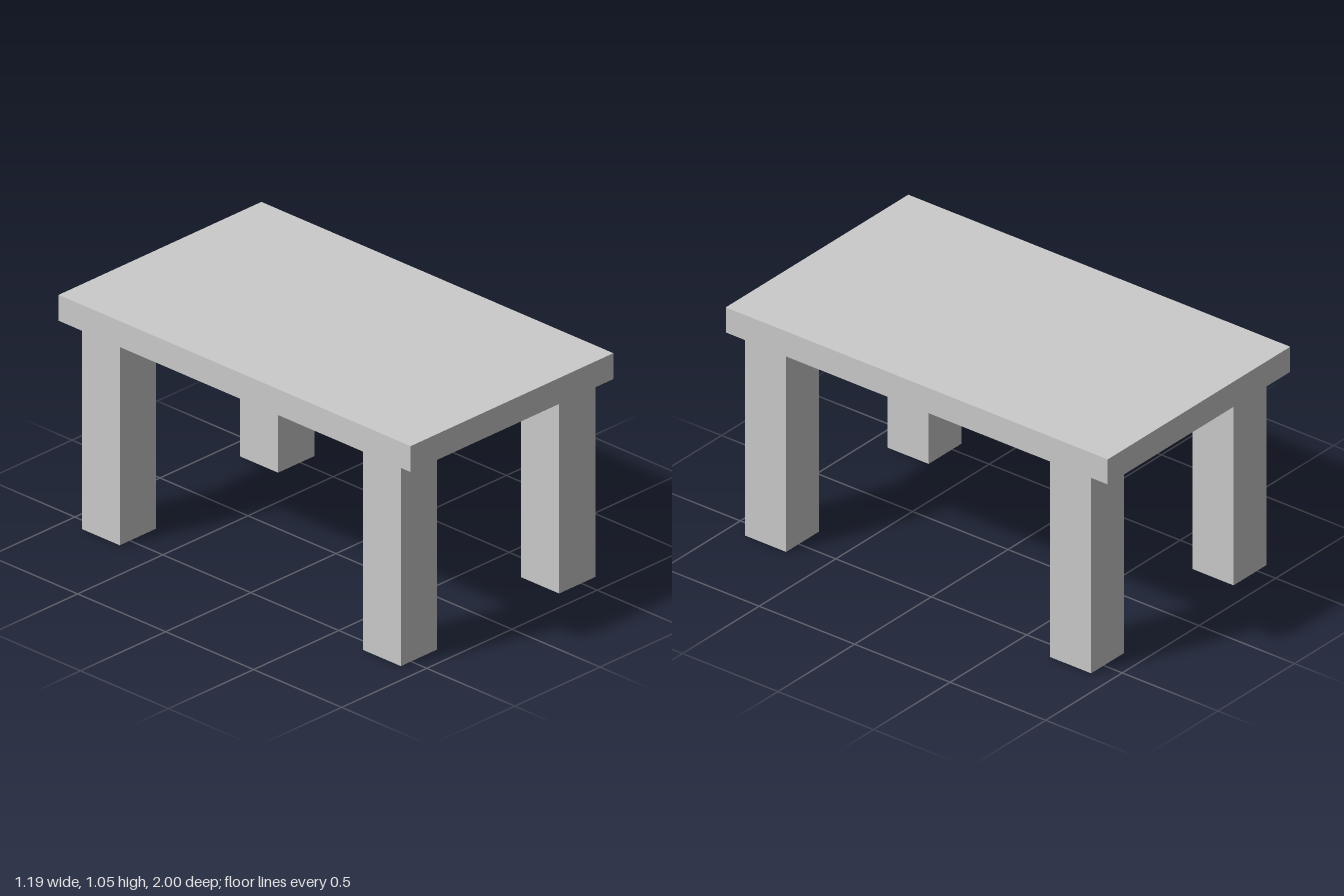
import * as THREE from 'three';

export function createModel() {
  const table = new THREE.Group();
  table.name = 'table';
  const material = new THREE.MeshStandardMaterial({ color: 0xcccccc, flatShading: true });

  const addBox = (name, size, position) => {
    const mesh = new THREE.Mesh(new THREE.BoxGeometry(...size), material);
    mesh.name = name;
    mesh.position.set(...position);
    table.add(mesh);
  };

  // Slab top
  const legHeight = 0.928;
  const topThickness = 0.118;
  addBox('tableTop', [1.19, topThickness, 2], [0, legHeight + topThickness / 2, 0]);

  // Four square legs, set slightly off centre under the top
  const legWidth = 0.213;
  const legDepth = 0.216;
  for (const [side, x] of [['Right', -0.453], ['Left', 0.476]]) {
    for (const [end, z] of [['front', 0.802], ['back', -0.795]]) {
      addBox(`${end}${side}Leg`, [legWidth, legHeight, legDepth], [x, legHeight / 2, z]);
    }
  }

  return table;
}
